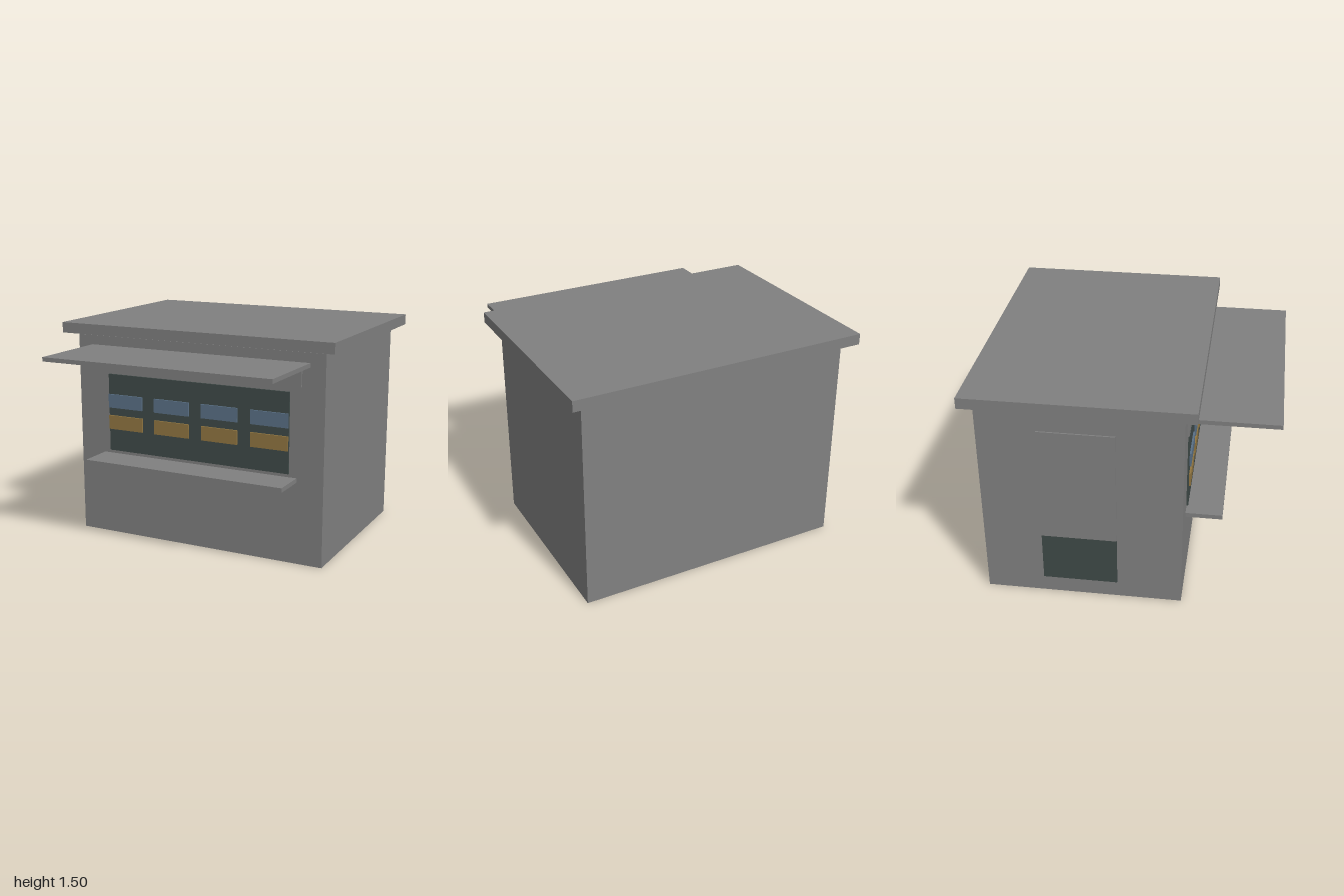
import * as THREE from 'three';

const paint = (name, color) => {
  const m = new THREE.MeshStandardMaterial({ color });
  m.name = name;
  return m;
};

export function createModel() {
  const grey = paint('grey', 0x808080);
  const darkGlass = paint('darkGlass', 0x3f4a48);
  const blue = paint('blue', 0x5a7086);
  const ochre = paint('ochre', 0x917641);

  const kiosk = new THREE.Group();
  kiosk.name = 'kiosk';

  // Box given by its extents along each axis
  const box = (name, material, [x0, x1], [y0, y1], [z0, z1]) => {
    const mesh = new THREE.Mesh(new THREE.BoxGeometry(x1 - x0, y1 - y0, z1 - z0), material);
    mesh.position.set((x0 + x1) / 2, (y0 + y1) / 2, (z0 + z1) / 2);
    mesh.name = name;
    kiosk.add(mesh);
  };

  // Body and floating roof slab
  box('body', grey, [-0.918, 0.916], [0, 1.41], [-0.9, 0.4]);
  box('roof', grey, [-1, 1], [1.425, 1.497], [-0.977, 0.478]);

  // Serving side: awning, shutter housing, counter shelf and window
  box('awning', grey, [-0.81, 0.81], [1.317, 1.345], [0.4, 0.977]);
  box('shutterHousing', grey, [-0.757, 0.757], [1.188, 1.317], [0.395, 0.413]);
  box('counterShelf', grey, [-0.73, 0.73], [0.555, 0.585], [0.4, 0.64]);
  box('window', darkGlass, [-0.677, 0.677], [0.608, 1.15], [0.395, 0.412]);

  // Two rows of goods displayed in the window
  for (let i = 0; i < 4; i++) {
    const x = -0.5415 + i * 0.361;
    const span = [x - 0.133, x + 0.133];
    box('upperGoods', blue, span, [0.915, 1.01], [0.412, 0.424]);
    box('lowerGoods', ochre, span, [0.763, 0.86], [0.412, 0.424]);
  }

  // Thin side door standing just off the wall
  box('doorUpper', grey, [-0.953, -0.943], [0.48, 1.27], [-0.51, -0.02]);
  box('doorLower', darkGlass, [-0.953, -0.943], [0.14, 0.48], [-0.51, -0.02]);

  return kiosk;
}
